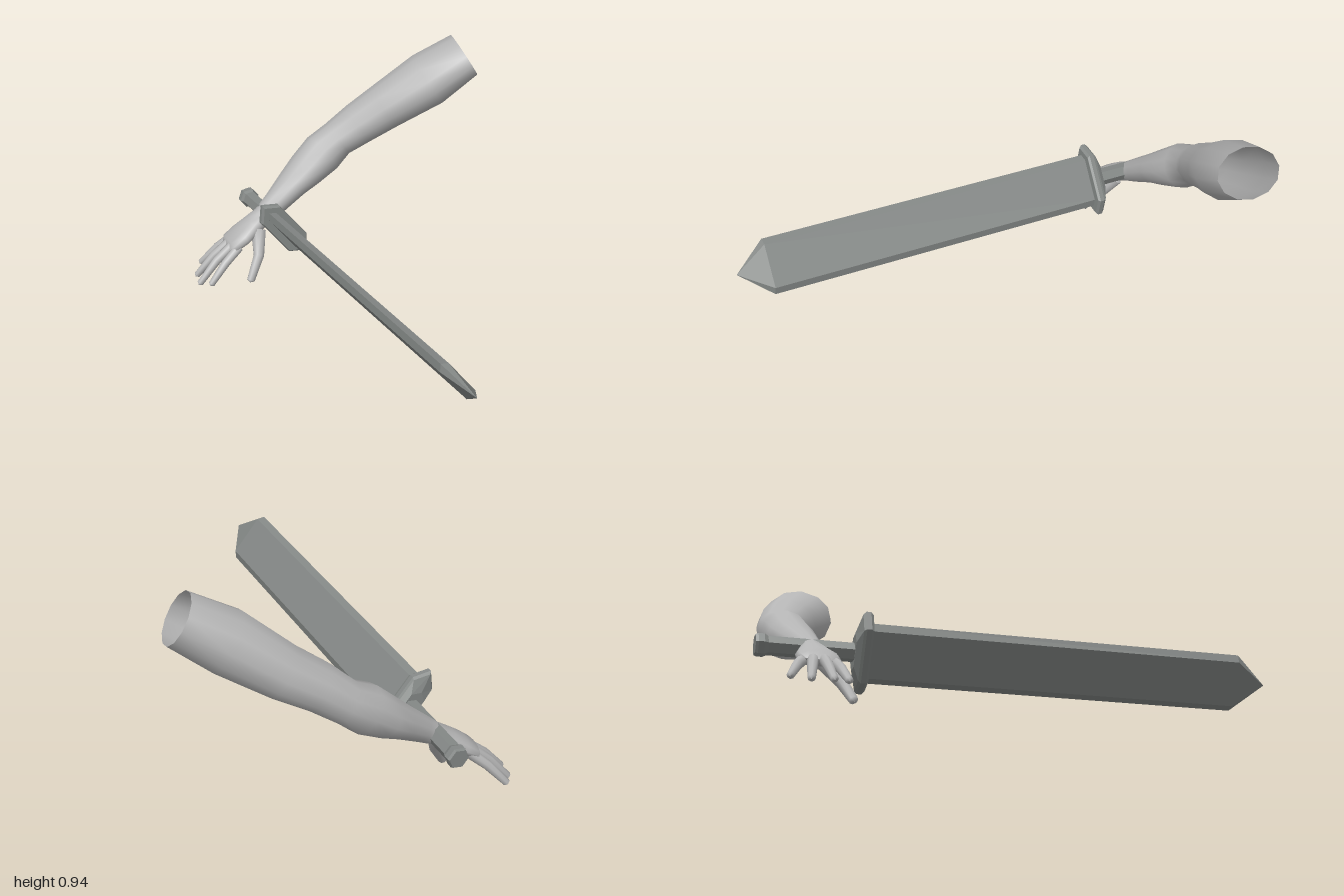
import * as THREE from 'three';

const skin = new THREE.MeshStandardMaterial({ color: 0xb4b4b4, side: THREE.DoubleSide });
skin.name = 'light grey skin';
const steel = new THREE.MeshStandardMaterial({ color: 0x848886 });
steel.name = 'grey steel';

// Skins a list of rings (arrays of Vector3, counter-clockwise around the direction of travel)
function skinRings(rings, flat) {
  const n = rings[0].length, index = [];
  for (let i = 0; i < rings.length - 1; i++) {
    for (let j = 0; j < n; j++) {
      const a = i * n + j, b = i * n + (j + 1) % n;
      index.push(a, b, b + n, a, b + n, a + n);
    }
  }
  let geo = new THREE.BufferGeometry().setFromPoints(rings.flat());
  geo.setIndex(index);
  if (flat) geo = geo.toNonIndexed();
  geo.computeVertexNormals();
  return geo;
}

// Limb from sections [x, y, z, half height, half width]
function limb(name, sections, sides) {
  const centres = sections.map(s => new THREE.Vector3(s[0], s[1], s[2]));
  const rings = sections.map(([, , , rh, rw], i) => {
    const t = centres[Math.min(i + 1, centres.length - 1)].clone()
      .sub(centres[Math.max(i - 1, 0)]).normalize();
    const u = new THREE.Vector3(-t.y, t.x, 0).normalize();
    const v = t.clone().cross(u);
    return Array.from({ length: sides }, (_, j) => {
      const a = j / sides * Math.PI * 2;
      return centres[i].clone().addScaledVector(u, rh * Math.cos(a)).addScaledVector(v, rw * Math.sin(a));
    });
  });
  const mesh = new THREE.Mesh(skinRings(rings, false), skin);
  mesh.name = name;
  return mesh;
}

// Faceted sword part: an outline repeated at [z, scale x, scale y]
function faceted(name, outline, steps) {
  const rings = steps.map(([z, sx, sy]) => outline.map(([x, y]) => new THREE.Vector3(x * sx, y * sy, z)));
  const mesh = new THREE.Mesh(skinRings(rings, true), steel);
  mesh.name = name;
  return mesh;
}

const hexagon = (end, side, half) =>
  [[end, 0], [side, half], [-side, half], [-end, 0], [-side, -half], [side, -half]];

function createModel() {
  const model = new THREE.Group();
  model.name = 'armWithSword';

  // Arm, open at the shoulder, running into the palm
  const arm = new THREE.Group();
  arm.name = 'arm';
  arm.add(limb('armAndPalm', [
    [0.612, 0.862, -0.755, 0.098, 0.122],
    [0.45, 0.764, -0.785, 0.117, 0.138],
    [0.27, 0.645, -0.842, 0.1, 0.117],
    [0.15, 0.575, -0.862, 0.09, 0.106],
    [0.058, 0.51, -0.885, 0.081, 0.09],
    [-0.02, 0.46, -0.872, 0.094, 0.093],
    [-0.105, 0.405, -0.854, 0.079, 0.094],
    [-0.18, 0.357, -0.835, 0.064, 0.08],
    [-0.27, 0.295, -0.808, 0.052, 0.058],
    [-0.335, 0.252, -0.795, 0.042, 0.047],
    [-0.385, 0.22, -0.792, 0.042, 0.06],
    [-0.44, 0.187, -0.785, 0.036, 0.078],
    [-0.49, 0.158, -0.782, 0.027, 0.078],
    [-0.51, 0.145, -0.782, 0.002, 0.05],
  ], 12));

  // Fingers: base, bent joint and tip
  const fingers = {
    indexFinger: [[-0.47, 0.16, -0.728], [-0.54, 0.105, -0.71], [-0.615, 0.03, -0.688]],
    middleFinger: [[-0.48, 0.163, -0.765], [-0.565, 0.1, -0.757], [-0.65, 0.015, -0.742]],
    ringFinger: [[-0.48, 0.163, -0.802], [-0.56, 0.1, -0.81], [-0.64, 0.015, -0.818]],
    littleFinger: [[-0.46, 0.165, -0.832], [-0.53, 0.11, -0.858], [-0.6, 0.035, -0.885]],
    thumb: [[-0.37, 0.205, -0.755], [-0.395, 0.12, -0.69], [-0.45, 0.03, -0.65]],
  };
  for (const [name, [base, joint, tip]] of Object.entries(fingers)) {
    const k = name === 'thumb' ? 1.25 : 1;
    const root = name === 'thumb' ? 0.034 : 0.021;
    const end = tip.map((c, i) => c + (c - joint[i]) * 0.08);
    arm.add(limb(name, [
      [...base, root, root],
      [...joint, 0.019 * k, 0.019 * k],
      [...tip, 0.014 * k, 0.014 * k],
      [...end, 0.001, 0.001],
    ], 8));
  }
  model.add(arm);

  // Sword, built along its own z with the guard at the origin
  const sword = new THREE.Group();
  sword.name = 'sword';
  sword.add(faceted('blade', hexagon(0.112, 0.088, 0.022),
    [[0, 1, 1], [1.475, 1, 1], [1.606, 0, 0]]));
  sword.add(faceted('guard', hexagon(0.154, 0.1, 0.054),
    [[-0.042, 0, 0], [-0.042, 0.45, 0.65], [-0.022, 0.93, 0.93], [-0.012, 1, 1],
      [0.006, 1, 1], [0.016, 0.93, 0.93], [0.016, 0, 0]]));
  sword.add(faceted('grip', hexagon(0.036, 0.018, 0.03),
    [[-0.36, 1, 1], [-0.03, 1, 1]]));
  sword.add(faceted('pommel', hexagon(0.043, 0.022, 0.037),
    [[-0.4, 0, 0], [-0.4, 0.9, 0.9], [-0.39, 1, 1], [-0.368, 1, 1], [-0.352, 0.8, 0.8], [-0.352, 0, 0]]));

  // Lean the sword across the wrist, blade edges up and down
  const axis = new THREE.Vector3(0.073, 0.054, 1).normalize();
  const side = new THREE.Vector3(0.6, -0.8, 0).cross(axis).negate().normalize();
  const width = side.clone().cross(axis).normalize();
  sword.quaternion.setFromRotationMatrix(new THREE.Matrix4().makeBasis(width, side, axis));
  sword.position.set(-0.308, 0.28, -0.6);
  model.add(sword);

  return model;
}

export { createModel };
